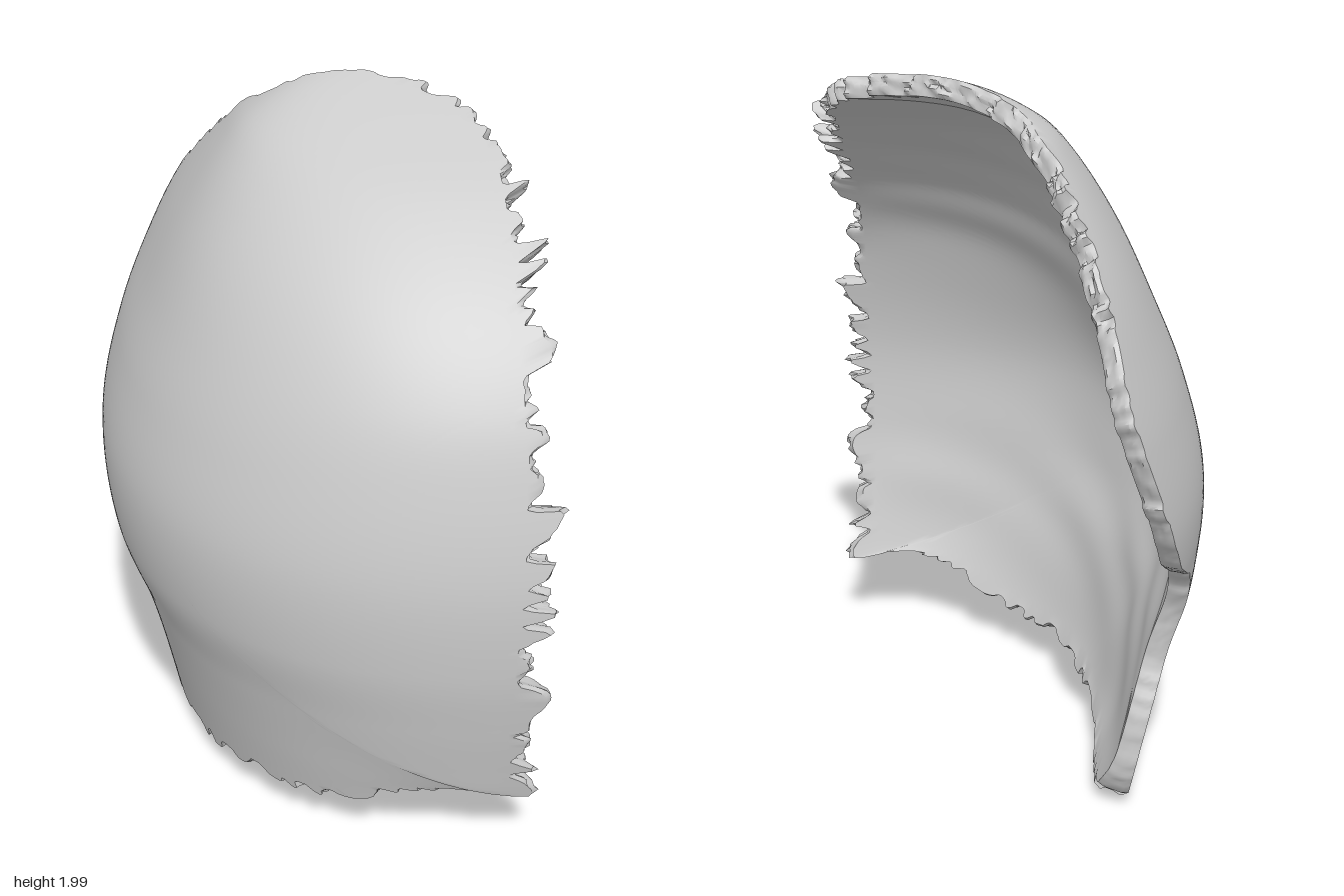
import * as THREE from 'three';
import { mergeVertices, toCreasedNormals } from 'three/addons/utils/BufferGeometryUtils.js';

const V = (x, y, z) => new THREE.Vector3(x, y, z);
const N = 640;      // samples round the edge
const RINGS = 36;   // rings from the middle of the plate to its edge
const RIM = 5;      // layers across the thickness
const CENTRE = V(0.5, 0.95, -0.25);

// Horizontal half-widths of the dome by height: (x half-width, y, z half-width)
const profile = new THREE.CatmullRomCurve3([
  [0.87, -0.2, 0.93], [0.89, 0.05, 0.95], [0.93, 0.3, 1.0], [0.98, 0.5, 1.04], [1.05, 0.7, 1.07],
  [1.07, 0.95, 1.075], [1.01, 1.2, 1.03], [0.93, 1.4, 0.96], [0.84, 1.6, 0.82], [0.72, 1.8, 0.58],
  [0.63, 1.9, 0.38], [0.42, 2.0, 0.12], [0.01, 2.035, 0.01],
].map((p) => V(...p))).getPoints(240);

// Outer edge: up the toothed midline, over the top, down the back, along the bottom
const edge = new THREE.CatmullRomCurve3([
  [0.47, 0.25, 0.73], [0.47, 0.5, 0.79], [0.47, 0.8, 0.825], [0.48, 1.1, 0.805], [0.48, 1.4, 0.71],
  [0.48, 1.6, 0.57], [0.49, 1.8, 0.33], [0.48, 1.89, 0.18], [0.4, 1.95, 0], [0.2, 1.995, -0.15],
  [0, 1.975, -0.22], [-0.1, 1.89, -0.3], [-0.19, 1.77, -0.42], [-0.27, 1.63, -0.58], [-0.33, 1.53, -0.71],
  [-0.38, 1.3, -0.82], [-0.45, 1.02, -0.76], [-0.5, 0.85, -0.66], [-0.53, 0.75, -0.51],
  [-0.49, 0.5, -0.43], [-0.44, 0.28, -0.48], [-0.39, 0.08, -0.45], [-0.38, 0.03, -0.32],
  [-0.36, 0.08, -0.08], [-0.3, 0.12, 0.19], [-0.2, 0.15, 0.4], [0, 0.18, 0.57],
  [0.2, 0.26, 0.68], [0.38, 0.27, 0.725],
].map((p) => V(...p)), true).getSpacedPoints(N).slice(0, N);

// Distance from the centre to the dome along a direction
function domeRadius(dir) {
  let lo = 0, hi = 1.6;
  const p = V();
  for (let k = 0; k < 24; k++) {
    const r = (lo + hi) / 2;
    p.copy(dir).multiplyScalar(r);
    const y = p.y + CENTRE.y;
    let outside = y > 2.035;
    if (!outside) {
      let l = 0, h = profile.length - 1;
      while (h - l > 1) {
        const m = (l + h) >> 1;
        if (profile[m].y <= y) l = m; else h = m;
      }
      const A = profile[l], B = profile[h];
      const t = THREE.MathUtils.clamp((y - A.y) / (B.y - A.y), 0, 1);
      const a = A.x + (B.x - A.x) * t;
      const b = (A.z + (B.z - A.z) * t) * (p.z < 0 ? 1.12 : 1);
      outside = Math.abs(p.x / a) ** 2.2 + Math.abs(p.z / b) ** 2.2 > 1;
    }
    if (outside) hi = r; else lo = r;
  }
  return lo;
}

// Repeatable noise
const hash = (n) => { const s = Math.sin(n * 127.1 + 11.7) * 43758.5453; return s - Math.floor(s); };
function noise(x, seed) {
  const i = Math.floor(x), f = x - i, u = f * f * (3 - 2 * f);
  return hash(i + seed) * (1 - u) + hash(i + 1 + seed) * u;
}

// Running average round the closed edge
function smoothLoop(values, half) {
  return values.map((_, i) => {
    let sum = 0;
    for (let k = -half; k <= half; k++) sum += values[(i + k + N) % N];
    return sum / (2 * half + 1);
  });
}

// Size of the teeth at each place on the edge
function toothSize(p) {
  if (p.x > 0.44 && p.z > 0.1) return 0.1;
  if (p.z < -0.38 && p.y < 1.0) return 0.008;
  if (p.z < -0.73) return 0.02;
  return 0.045;
}

// Fine raised branching lines on the hollow side, as (z, y)
const creases = [
  [[0.3, 1.25], [0.1, 1.3], [-0.12, 1.27], [-0.35, 1.0]],
  [[-0.12, 1.27], [-0.25, 1.4]],
];
function creaseHeight(p) {
  let best = 1;
  for (const line of creases) {
    for (let i = 0; i + 1 < line.length; i++) {
      const [az, ay] = line[i], [bz, by] = line[i + 1];
      const dz = bz - az, dy = by - ay;
      const t = THREE.MathUtils.clamp(((p.z - az) * dz + (p.y - ay) * dy) / (dz * dz + dy * dy), 0, 1);
      best = Math.min(best, Math.hypot(p.z - az - dz * t, p.y - ay - dy * t));
    }
  }
  return 0.008 * Math.exp(-((best / 0.025) ** 2));
}

// Uneven hollow surface
const lumps = (p) => 0.004 * Math.sin(9 * p.y + 5 * p.z + 2 * Math.sin(7 * p.z))
  + 0.003 * Math.sin(17 * p.z - 11 * p.y + 3 * Math.sin(6 * p.y));

function buildShell() {
  const pole = V(-0.87, -0.05, 0.45).normalize();
  const dirs = edge.map((p) => p.clone().sub(CENTRE).normalize());
  // How far the edge lies off the dome, evened out so no folds run inwards
  const ratios = smoothLoop(smoothLoop(edge.map((p, i) => p.distanceTo(CENTRE) / domeRadius(dirs[i])), 24), 24);

  // Concentric loops on the outside and on the hollow side
  const outer = [], inner = [];
  for (let j = 0; j <= RINGS; j++) {
    const s = j / RINGS;
    const o = [], n = [];
    for (let i = 0; i < N; i++) {
      const d = pole.clone().lerp(dirs[i], s).normalize();
      const r = domeRadius(d) * (1 + (ratios[i] - 1) * s ** 4);
      const p = d.clone().multiplyScalar(r).add(CENTRE);
      // The lower wall is thickened sideways, with a heavier lip at the lowest corner
      const inward = V(-d.x, d.y < 0 ? -0.25 * d.y : -d.y, -d.z).normalize();
      const lip = 0.04 * Math.exp(-((p.y / 0.12) ** 2));
      const thick = 0.058 + lip + (lumps(p) + creaseHeight(p)) * (1 - s ** 6);
      o.push(p);
      n.push(p.clone().addScaledVector(inward, thick));
    }
    outer.push(o);
    inner.push(n);
  }

  // Teeth push the edge out and in along the surface
  const out = edge.map((p, i) => outer[RINGS][i].clone().sub(outer[RINGS - 1][i]).normalize());
  const tooth = edge.map((p, i) => {
    const big = THREE.MathUtils.smoothstep(noise(i / 2.6, 0), 0.15, 0.85);
    return toothSize(p) * (big * (0.4 + 0.6 * noise(i / 9, 300)) - 0.25);
  });
  for (let i = 0; i < N; i++) {
    outer[RINGS][i].addScaledVector(out[i], tooth[i]);
    inner[RINGS][i].addScaledVector(out[i], tooth[i] * 0.8);
  }

  // Rough rim joining both sides
  const rim = [];
  for (let k = 1; k < RIM; k++) {
    rim.push(edge.map((p, i) => outer[RINGS][i].clone().lerp(inner[RINGS][i], k / RIM)
      .addScaledVector(out[i], 0.006 + toothSize(p) * 0.4 * (noise(i / 2, 900 + k * 77) - 0.5))));
  }

  // Skin the loops into one closed surface; the first and last loops are single points
  const loops = [...outer, ...rim, ...inner.reverse()];
  const pos = [], index = [];
  loops.forEach((loop) => loop.forEach((p) => pos.push(p.x, p.y, p.z)));
  for (let j = 0; j + 1 < loops.length; j++) {
    for (let i = 0; i < N; i++) {
      const i2 = (i + 1) % N;
      const a = j * N + i, b = (j + 1) * N + i, c = (j + 1) * N + i2, d = j * N + i2;
      if (j > 0) index.push(a, c, d);
      if (j + 2 < loops.length) index.push(a, b, c);
    }
  }
  const geo = new THREE.BufferGeometry();
  geo.setAttribute('position', new THREE.Float32BufferAttribute(pos, 3));
  geo.setIndex(index);
  return toCreasedNormals(mergeVertices(geo, 1e-5), 0.8);
}

export function createModel() {
  const group = new THREE.Group();
  group.name = 'skullPlate';
  const shell = new THREE.Mesh(buildShell(), new THREE.MeshStandardMaterial({ color: 0xcccccc }));
  shell.name = 'curvedBoneShell';
  group.add(shell);
  return group;
}
